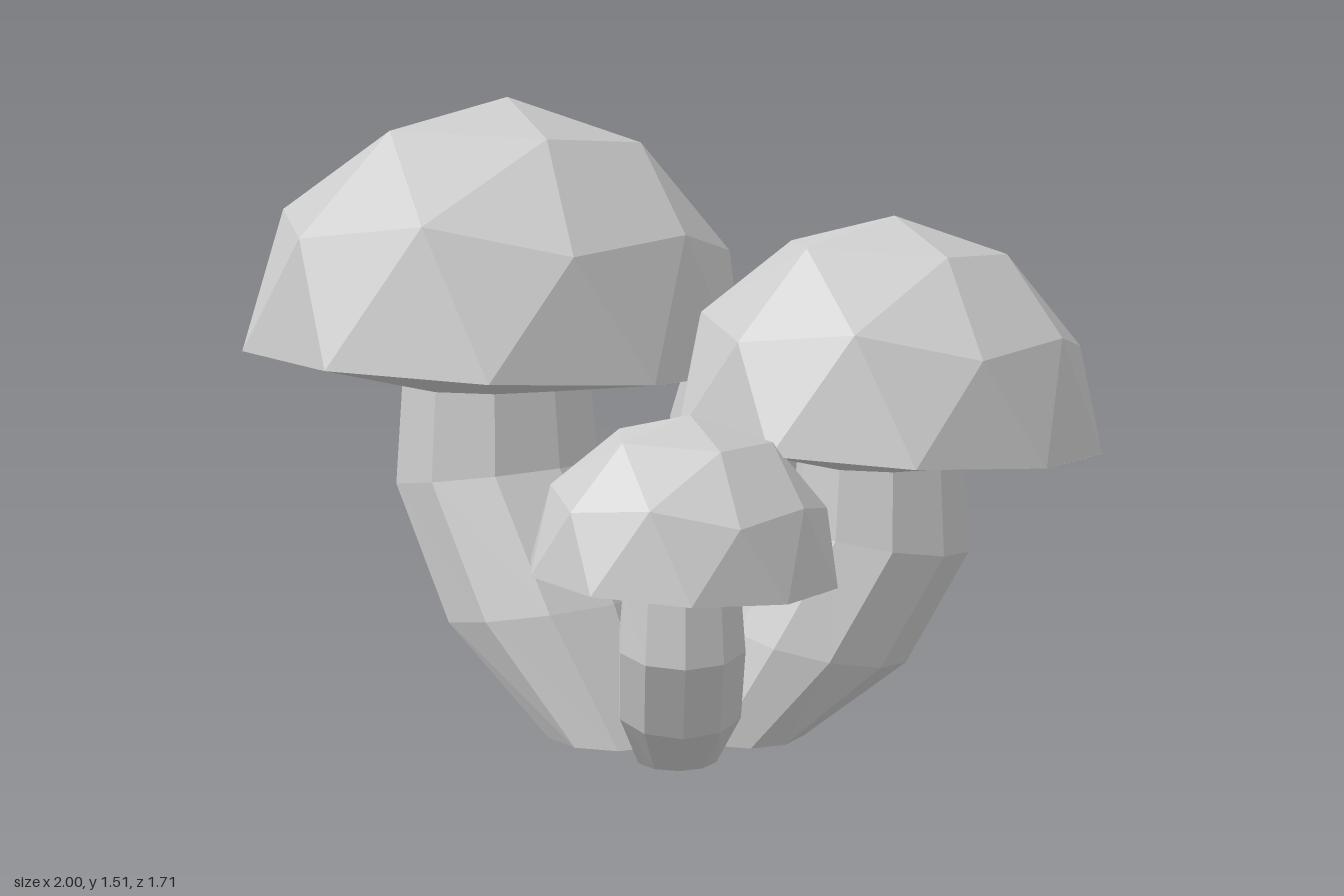
import * as THREE from 'three';

const material = new THREE.MeshStandardMaterial({ color: 0xcccccc, flatShading: true, side: THREE.DoubleSide });
const SIDES = 10;
const TILT = 0.05; // every cap leans slightly towards +x

// Ten-sided ring around (x, y, z); sx and sz slope its plane along x and z
function ring(x, y, z, r, sx = 0, sz = 0) {
  return Array.from({ length: SIDES }, (_, i) => {
    const a = ((i + 0.5) / SIDES) * Math.PI * 2;
    const dx = Math.cos(a) * r, dz = Math.sin(a) * r;
    return [x + dx, y + dx * sx + dz * sz, z + dz];
  });
}

// Skin over a stack of rings, lowest first, optionally closed at the bottom
function loft(rings, floor) {
  const pos = [];
  for (let j = 0; j < rings.length - 1; j++) {
    for (let i = 0; i < SIDES; i++) {
      const k = (i + 1) % SIDES;
      const a = rings[j][i], b = rings[j][k], c = rings[j + 1][k], d = rings[j + 1][i];
      pos.push(...a, ...d, ...c, ...a, ...c, ...b);
    }
  }
  if (floor) {
    const r = rings[0];
    for (let i = 1; i < SIDES - 1; i++) pos.push(...r[0], ...r[i], ...r[i + 1]);
  }
  const g = new THREE.BufferGeometry();
  g.setAttribute('position', new THREE.Float32BufferAttribute(pos, 3));
  g.computeVertexNormals();
  return g;
}

// Upper half of a faceted sphere, turned so that one corner is the apex
function domeGeometry() {
  const ball = new THREE.IcosahedronGeometry(1, 1);
  ball.rotateZ(-Math.atan(2 / (1 + Math.sqrt(5))));
  const p = ball.attributes.position, pos = [];
  for (let i = 0; i < p.count; i += 3) {
    if (p.getY(i) + p.getY(i + 1) + p.getY(i + 2) < 0.01) continue;
    for (let k = i; k < i + 3; k++) pos.push(p.getX(k), p.getY(k), p.getZ(k));
  }
  const g = new THREE.BufferGeometry();
  g.setAttribute('position', new THREE.Float32BufferAttribute(pos, 3));
  g.rotateZ(-Math.atan(TILT));
  g.computeVertexNormals();
  return g;
}

// One mushroom: cap radius s, cap centre (x, z), stem bending outwards by (bx, bz)
function mushroom(name, s, x, z, bx, bz) {
  const group = new THREE.Group();
  group.name = name;
  const add = (part, geometry) => {
    const mesh = new THREE.Mesh(geometry, material);
    mesh.name = part;
    group.add(mesh);
    return mesh;
  };
  const bend = Math.hypot(bx, bz);

  // Stem rings: share of the bend still to go, height, radius, slope
  const stem = [
    [1, 0, 0.272, 0],
    [0.45, 0.43, 0.41, 0.19],
    [0, 0.93, 0.415, 0.15],
    [0, 1.285, 0.385, 0],
  ].map(([t, y, r, slope]) =>
    ring(x - bx * t, y * s, z - bz * t, r * s, (-slope * bx) / bend, (-slope * bz) / bend));
  add('stem', loft(stem, true));

  // Underside flares from the top of the stem to the rim of the cap
  const rimY = 1.398 * s;
  add('capUnderside', loft([stem[3], ring(x, rimY, z, s, -TILT)], false));

  const cap = add('cap', domeGeometry());
  cap.scale.setScalar(s);
  cap.position.set(x, rimY, z);
  return group;
}

export function createModel() {
  const model = new THREE.Group();
  model.name = 'mushroomCluster';
  model.add(
    mushroom('largeMushroom', 0.63, -0.4, -0.23, -0.285, -0.3),
    mushroom('mediumMushroom', 0.515, 0.51, 0.095, 0.315, 0),
    mushroom('smallMushroom', 0.345, 0.018, 0.505, 0, 0.2),
  );
  return model;
}
